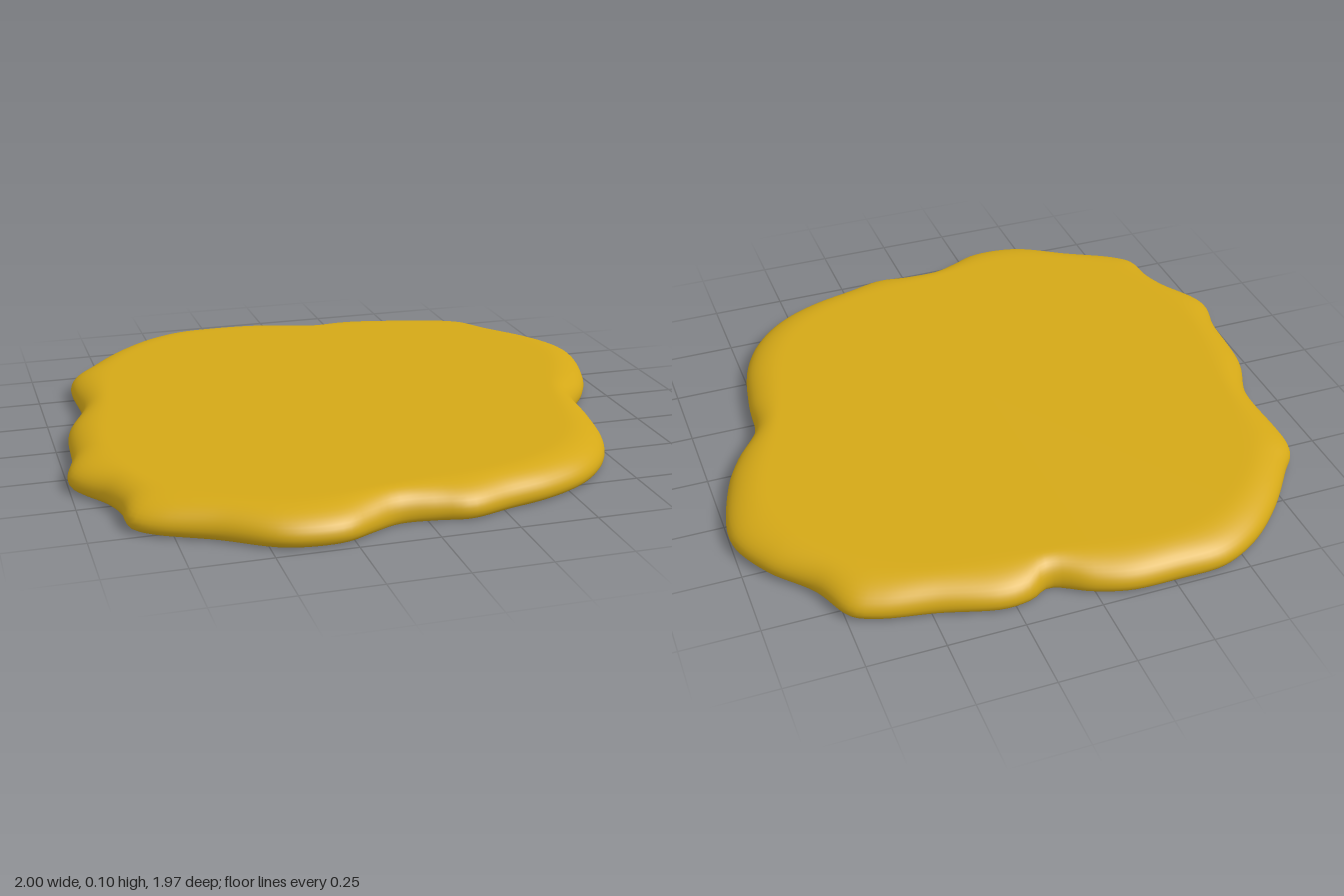
import * as THREE from 'three';

// Puddle outline as x, z pairs, clockwise seen from above
const OUTLINE = [
  -0.42, -0.985, -0.26, -0.99, -0.1, -0.985, 0.01, -0.95, 0.13, -0.885, 0.2, -0.92, 0.29, -0.93,
  0.49, -0.875, 0.66, -0.84, 0.74, -0.8, 0.81, -0.655, 0.93, -0.515, 1, -0.355, 0.95, -0.105,
  0.89, 0.02, 0.8, 0.15, 0.78, 0.32, 0.74, 0.52, 0.67, 0.66, 0.56, 0.77, 0.42, 0.84,
  0.27, 0.88, 0.13, 0.92, 0.03, 0.9, -0.09, 0.89, -0.18, 0.93, -0.27, 0.975, -0.38, 0.98,
  -0.48, 0.955, -0.64, 0.85, -0.82, 0.76, -0.87, 0.71, -0.88, 0.59, -0.91, 0.495, -1, 0.345,
  -0.97, 0.19, -0.95, -0.05, -0.88, -0.24, -0.875, -0.56, -0.81, -0.65, -0.69, -0.8, -0.555, -0.92,
];
const N = 256, HEIGHT = 0.105, WIDEST = 0.03, INSET = 0.11;
const wrap = (i) => (i + N) % N;

// Running average round the loop
function smooth(points, reach) {
  return points.map((_, i) => {
    const sum = new THREE.Vector3();
    for (let k = -reach; k <= reach; k++) sum.add(points[wrap(i + k)]);
    return sum.divideScalar(2 * reach + 1);
  });
}

function puddleGeometry() {
  const corners = [];
  for (let i = 0; i < OUTLINE.length; i += 2) corners.push(new THREE.Vector3(OUTLINE[i], 0, OUTLINE[i + 1]));
  const outer = new THREE.CatmullRomCurve3(corners, true, 'centripetal').getSpacedPoints(N).slice(0, N);

  // Calmer inner outline where the rounded rim meets the flat top
  const calm = smooth(smooth(outer, 8), 6);
  const inner = calm.map((p, i) => {
    const t = calm[wrap(i + 1)].clone().sub(calm[wrap(i - 1)]).normalize();
    return new THREE.Vector3(p.x - t.z * INSET, 0, p.z + t.x * INSET);
  });

  // Rim cross-section: [share of the way to the inner outline, height]
  const section = [[1, 0], [0.3, 0]];
  for (let k = 0; k <= 4; k++) {
    const a = (k / 4) * Math.PI / 2;
    section.push([0.2 * (1 - Math.sin(a)), WIDEST * (1 - Math.cos(a))]);
  }
  for (let k = 1; k <= 10; k++) {
    const a = (k / 10) * Math.PI / 2;
    section.push([1 - Math.cos(a), WIDEST + (HEIGHT - WIDEST) * Math.sin(a)]);
  }
  section.push([1.15, HEIGHT]);

  const pos = [], index = [];
  for (const [share, y] of section) {
    for (let i = 0; i < N; i++) {
      const p = outer[i].clone().lerp(inner[i], share);
      pos.push(p.x, y, p.z);
    }
  }
  const rows = section.length, bottom = rows * N, top = bottom + 1;
  pos.push(0, 0, 0, 0, HEIGHT, 0);

  for (let i = 0; i < N; i++) {
    const n = wrap(i + 1);
    for (let j = 0; j < rows - 1; j++) {
      const a = j * N + i, b = j * N + n;
      index.push(a, a + N, b, b, a + N, b + N);
    }
    // Flat underside and flat top
    index.push(bottom, i, n);
    index.push(top, (rows - 1) * N + n, (rows - 1) * N + i);
  }
  const g = new THREE.BufferGeometry();
  g.setAttribute('position', new THREE.Float32BufferAttribute(pos, 3));
  g.setIndex(index);
  g.computeVertexNormals();
  return g;
}

export function createModel() {
  const group = new THREE.Group();
  group.name = 'puddle';
  const puddle = new THREE.Mesh(puddleGeometry(), new THREE.MeshStandardMaterial({ color: 0xd4a817 }));
  puddle.name = 'puddleBody';
  group.add(puddle);
  return group;
}
